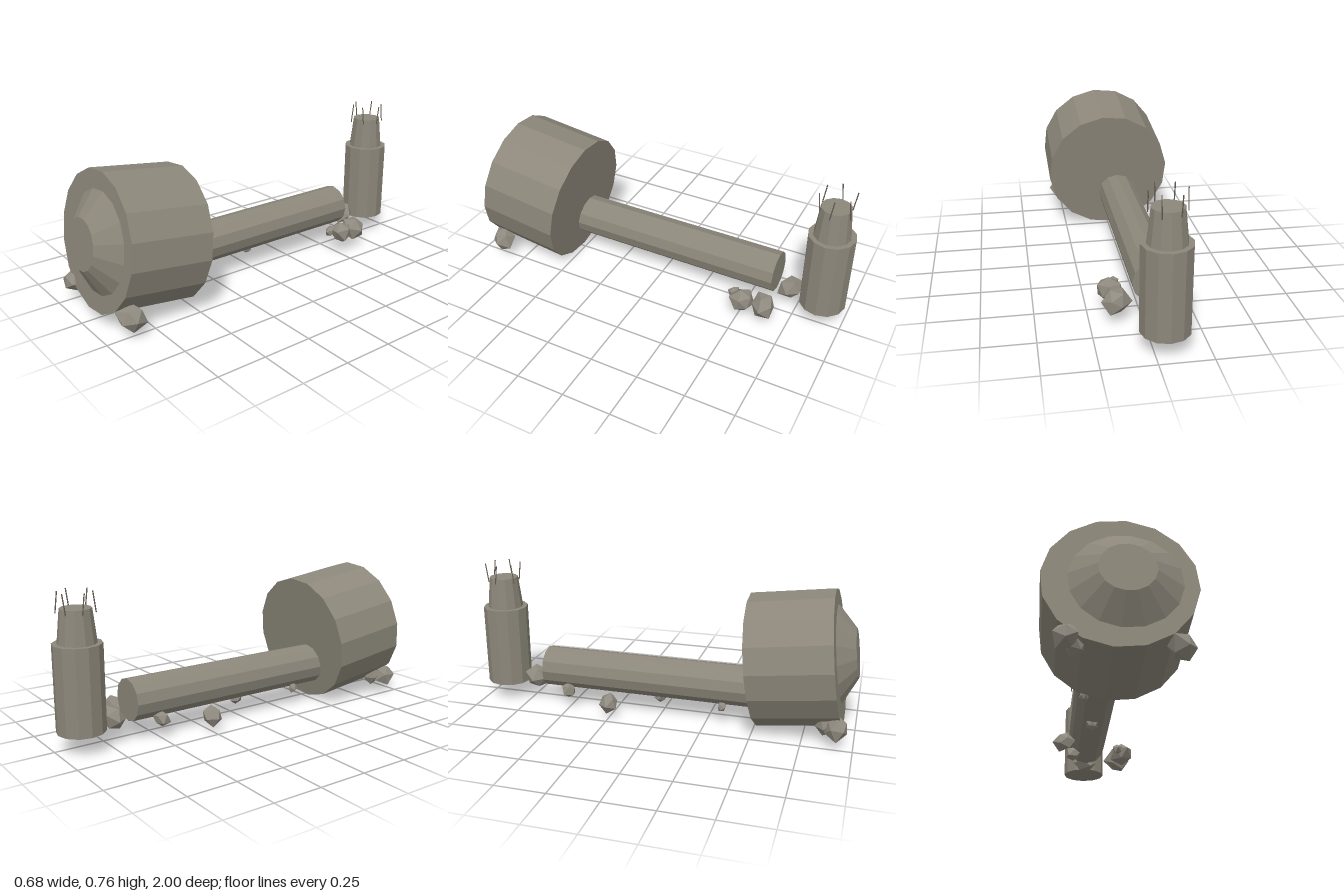
import * as THREE from 'three';

const metal = new THREE.MeshStandardMaterial({ color: 0x8c877a, flatShading: true });
metal.name = 'weathered grey';
const stone = new THREE.MeshStandardMaterial({ color: 0x8f8a7f, flatShading: true });
stone.name = 'rubble grey';
const rust = new THREE.MeshStandardMaterial({ color: 0x6a5f55, flatShading: true });
rust.name = 'dark rebar';

function add(parent, name, geometry, material, x, y, z) {
  const mesh = new THREE.Mesh(geometry, material);
  mesh.name = name;
  mesh.position.set(x, y, z);
  parent.add(mesh);
  return mesh;
}

// Faceted rock: an icosahedron whose corners move in or out by a seeded amount
function rockGeometry(radius, seed) {
  const g = new THREE.IcosahedronGeometry(1, 0);
  const p = g.attributes.position;
  const v = new THREE.Vector3();
  for (let i = 0; i < p.count; i++) {
    v.fromBufferAttribute(p, i);
    const key = Math.round(v.x * 10) * 12.9898 + Math.round(v.y * 10) * 78.233
      + Math.round(v.z * 10) * 37.719 + seed * 4.137;
    const s = Math.sin(key) * 43758.5453;
    v.multiplyScalar(radius * (0.78 + 0.42 * (s - Math.floor(s))));
    p.setXYZ(i, v.x, v.y, v.z);
  }
  g.computeVertexNormals();
  return g;
}

export function createModel() {
  const model = new THREE.Group();
  model.name = 'ruinedTower';

  // Tilted drum with a blunt cone on its front
  const drum = new THREE.Group();
  drum.name = 'drum';
  drum.position.set(0, 0.362, 0.69);
  drum.rotation.x = Math.PI / 2 - 0.129;
  const turn = THREE.MathUtils.degToRad(16.9);
  add(drum, 'drumBody',
    new THREE.CylinderGeometry(0.34, 0.34, 0.422, 16, 1, false, turn, Math.PI * 2), metal, 0, 0, 0);
  add(drum, 'drumCone',
    new THREE.CylinderGeometry(0.125, 0.25, 0.086, 16, 1, false, turn, Math.PI * 2), metal, 0.024, 0.253, -0.005);
  model.add(drum);

  // Fallen shaft lying along z
  const shaft = add(model, 'fallenShaft', new THREE.CylinderGeometry(0.106, 0.106, 1.2, 12), metal, -0.053, 0.2, -0.04);
  shaft.rotation.x = Math.PI / 2;

  // Standing stump with a tapered upper section
  const stump = new THREE.Group();
  stump.name = 'stump';
  stump.position.set(-0.052, 0, -0.883);
  add(stump, 'stumpBase', new THREE.CylinderGeometry(0.117, 0.117, 0.42, 12), metal, 0, 0.307, 0);
  add(stump, 'stumpNeck', new THREE.CylinderGeometry(0.074, 0.092, 0.163, 12), metal, 0, 0.597, 0);

  // Six bent rods around the broken rim
  for (let i = 0; i < 6; i++) {
    const a = (i * Math.PI) / 3;
    const rod = add(stump, 'rod', new THREE.CylinderGeometry(0.003, 0.003, 0.1, 5), rust,
      Math.cos(a) * 0.085, 0.705, Math.sin(a) * 0.085);
    rod.rotation.x = i % 2 ? 0.13 : -0.13;
  }
  model.add(stump);

  // Rubble: x, y, z, radius
  const rocks = [
    [-0.227, 0.11, 0.92, 0.063], [-0.19, 0.1, 0.87, 0.052], [0.252, 0.1, 0.87, 0.07],
    [0.125, 0.11, -0.635, 0.066], [0.145, 0.115, -0.525, 0.065], [0.115, 0.125, -0.47, 0.03],
    [-0.055, 0.122, -0.715, 0.066], [-0.195, 0.085, -0.25, 0.053], [-0.13, 0.1, -0.5, 0.042],
    [-0.06, 0.093, -0.005, 0.035], [-0.12, 0.098, 0.335, 0.026],
  ];
  rocks.forEach(([x, y, z, r], i) => {
    const rock = add(model, 'rock', rockGeometry(r, i + 1), stone, x, y, z);
    rock.rotation.set(i * 1.3, i * 2.1, i * 0.7);
  });

  return model;
}
